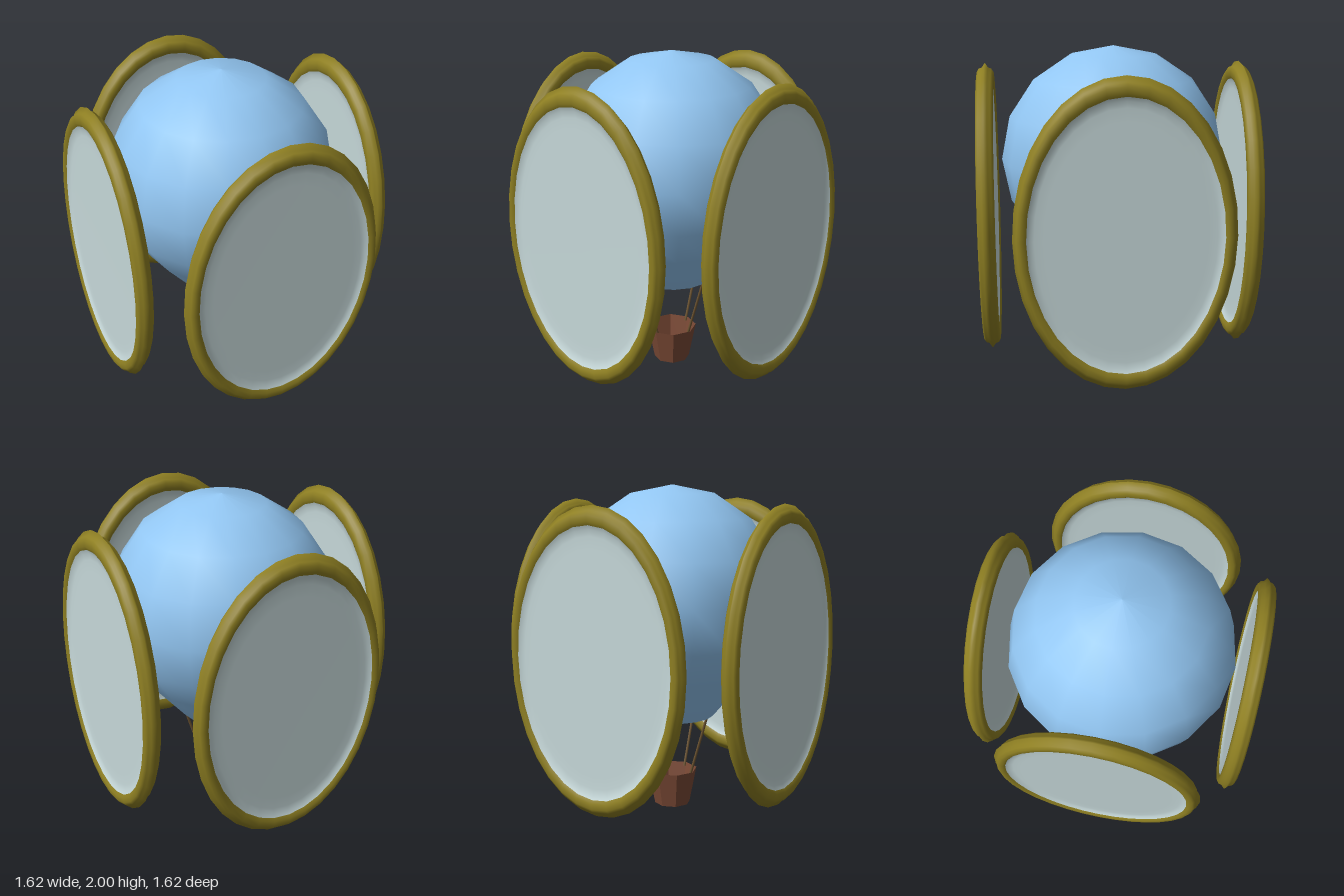
import * as THREE from 'three';

const mat = (color, side = THREE.FrontSide) => new THREE.MeshStandardMaterial({ color, side });
const profile = (pairs) => pairs.map(([r, y]) => new THREE.Vector2(r, y));

function part(name, geometry, material) {
  const mesh = new THREE.Mesh(geometry, material);
  mesh.name = name;
  return mesh;
}

// Round profile turned to face +z, then stretched into an upright oval
function ovalLathe(pairs) {
  return new THREE.LatheGeometry(profile(pairs), 32).rotateX(Math.PI / 2).scale(1, 1.43, 1);
}

// Straight thin cylinder between two points
function rod(a, b, radius) {
  const dir = b.clone().sub(a);
  const g = new THREE.CylinderGeometry(radius, radius, dir.length(), 6);
  g.applyQuaternion(new THREE.Quaternion().setFromUnitVectors(new THREE.Vector3(0, 1, 0), dir.normalize()));
  const mid = a.clone().add(b).multiplyScalar(0.5);
  return g.translate(mid.x, mid.y, mid.z);
}

export function createModel() {
  const model = new THREE.Group();
  model.name = 'balloonWithMirrors';
  const blue = mat(0x92c6f2, THREE.DoubleSide);
  const gold = mat(0x8e7f22);
  const glass = mat(0xc6d8d9);
  const brown = mat(0x7a4935, THREE.DoubleSide);
  const ropeMat = mat(0x6e5532);

  // Envelope: sphere whose open mouth is drawn downwards
  const R = 0.676, cy = 1.324, mouthY = 0.58, mouthR = R * Math.sin(Math.PI / 8);
  const envelope = [[mouthR, mouthY]];
  for (let i = 2; i <= 8; i++) {
    const t = Math.PI * i / 8;
    envelope.push([Math.max(0, R * Math.sin(t)), cy - R * Math.cos(t)]);
  }
  model.add(part('envelope', new THREE.LatheGeometry(profile(envelope), 16), blue));

  // Tapered open basket with a floor
  const basket = new THREE.Group();
  basket.name = 'basket';
  const wall = new THREE.CylinderGeometry(0.155, 0.112, 0.22, 8, 1, true).translate(0, 0.11, 0);
  const floor = new THREE.CircleGeometry(0.112, 8).rotateX(Math.PI / 2);
  brown.flatShading = true;
  basket.add(part('basketWall', wall, brown), part('basketFloor', floor, brown));
  model.add(basket);

  // Oval frame section with a ridge round its edge, and a dished pane on both faces
  const half = [[0.617, 0], [0.598, 0.018], [0.594, 0.036], [0.58, 0.048], [0.556, 0.05], [0.54, 0.036]];
  const ring = [...half.slice(1).reverse().map(([r, y]) => [r, -y]), ...half];
  const frameGeo = ovalLathe(ring);
  const frontPane = ovalLathe([[0.542, 0.038], [0.525, 0.027], [0.5, 0.023], [0.45, 0.022], [0, 0.022]]);
  const backPane = frontPane.clone().rotateY(Math.PI);

  for (let i = 0; i < 4; i++) {
    const angle = i * Math.PI / 2;
    const s = Math.sin(angle), c = Math.cos(angle);

    // Ropes from basket rim to envelope mouth
    const low = new THREE.Vector3(0.135 * s, 0.2, 0.135 * c);
    const high = new THREE.Vector3(0.254 * s, mouthY + 0.005, 0.254 * c);
    model.add(part('rope', rod(low, high, 0.008), ropeMat));

    // One oval panel on each side
    const panel = new THREE.Group();
    panel.name = 'ovalPanel';
    panel.add(part('panelFrame', frameGeo, gold), part('frontPane', frontPane, glass), part('backPane', backPane, glass));
    panel.position.set(0.762 * s, 1.02, 0.762 * c);
    panel.rotation.y = angle;
    model.add(panel);
  }
  return model;
}
